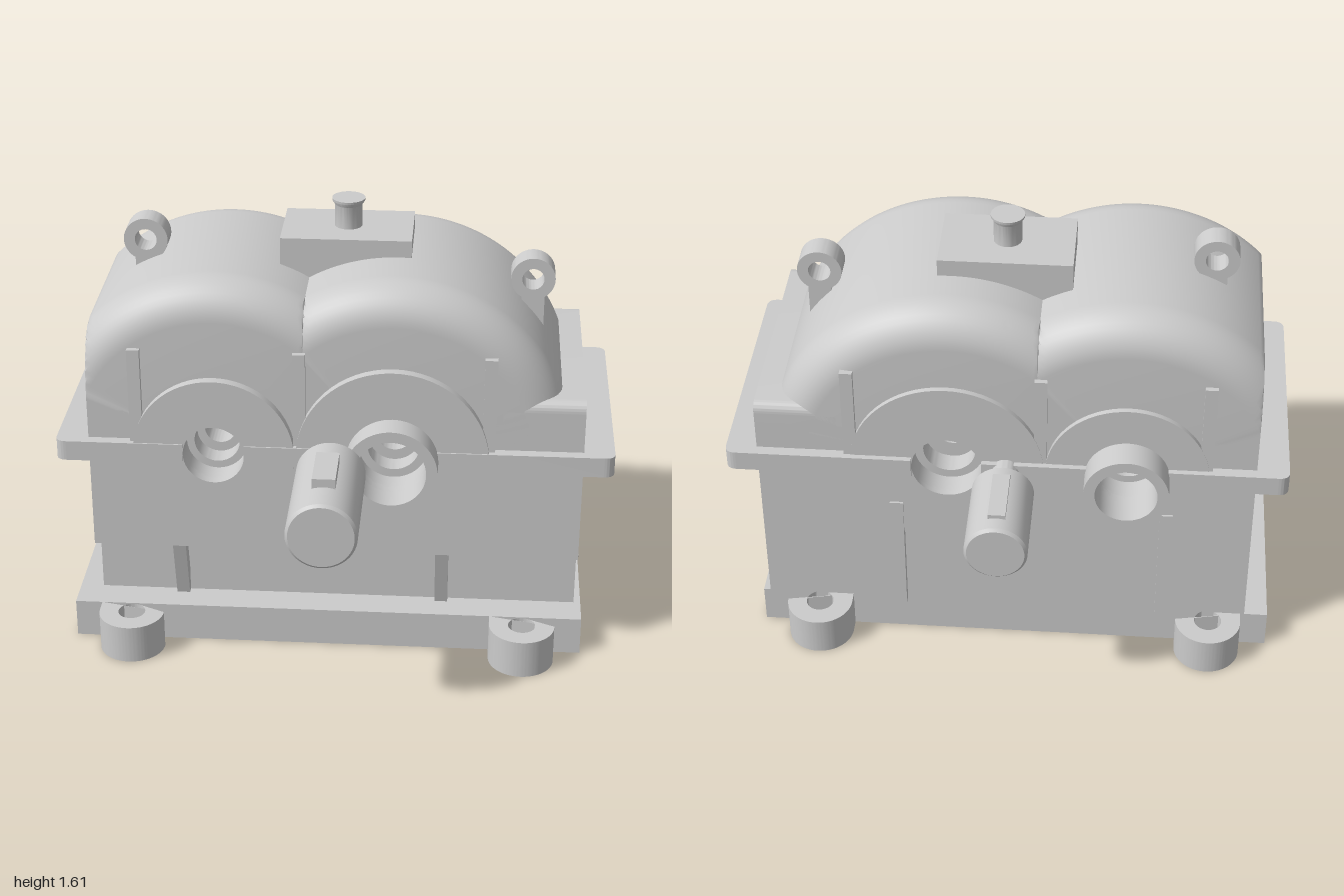
import * as THREE from 'three';
import { toCreasedNormals } from 'three/addons/utils/BufferGeometryUtils.js';

const FRONT = 0.36, BACK = -0.5, LEFT = -0.885, RIGHT = 0.89, AXIS = 0.8;
const BORES = [{ x: -0.43, hole: 0.11, disc: 0.29 }, { x: 0.21, hole: 0.125, disc: 0.345 }];

export function createModel() {
  const model = new THREE.Group();
  const mat = new THREE.MeshStandardMaterial({ color: 0xcccccc, side: THREE.DoubleSide });

  const add = (name, geo) => {
    const mesh = new THREE.Mesh(toCreasedNormals(geo, 0.6), mat);
    mesh.name = name;
    model.add(mesh);
    return mesh;
  };
  const poly = (pts) => new THREE.Shape(pts.map(([a, b]) => new THREE.Vector2(a, b)));
  const circle = (x, y, r, Type = THREE.Shape) => {
    const c = new Type();
    c.absarc(x, y, r, 0, Math.PI * 2);
    return c;
  };
  const ringShape = (x, y, outer, inner) => {
    const s = circle(x, y, outer);
    s.holes.push(circle(x, y, inner, THREE.Path));
    return s;
  };
  const extrude = (shape, depth) =>
    new THREE.ExtrudeGeometry(shape, { depth, bevelEnabled: false, curveSegments: 32 });
  // Extrusions along each axis; the X version draws in (-z, y), the Y version in (x, -z)
  const alongZ = (s, z0, z1) => extrude(s, z1 - z0).translate(0, 0, z0);
  const alongX = (s, x0, x1) => extrude(s, x1 - x0).rotateY(Math.PI / 2).translate(x0, 0, 0);
  const alongY = (s, y0, y1) => extrude(s, y1 - y0).rotateX(-Math.PI / 2).translate(0, y0, 0);
  const box = (name, x0, x1, y0, y1, z0, z1) =>
    add(name, new THREE.BoxGeometry(x1 - x0, y1 - y0, z1 - z0)
      .translate((x0 + x1) / 2, (y0 + y1) / 2, (z0 + z1) / 2));
  const ring = (name, x, outer, inner, z0, z1) =>
    add(name, alongZ(ringShape(x, AXIS, outer, inner), z0, z1));

  // Base plate with arched underside
  const base = new THREE.Shape();
  base.moveTo(-FRONT, 0);
  base.lineTo(-0.31, 0);
  base.bezierCurveTo(-0.17, 0.06, 0.3, 0.06, 0.44, 0);
  base.lineTo(-BACK, 0);
  base.lineTo(-BACK, 0.145);
  base.lineTo(-FRONT, 0.145);
  add('base', alongX(base, -0.97, 0.915));

  // Mounting feet: rounded lugs with bolt holes
  for (const x of [-0.75, 0.695]) {
    for (const [z, dir, reach] of [[0.415, -1, 0.055], [-0.545, 1, 0.045]]) {
      const foot = new THREE.Shape();
      foot.moveTo(x + 0.12, -z - dir * reach);
      foot.absarc(x, -z, 0.12, 0, dir * Math.PI, dir < 0);
      foot.lineTo(x - 0.12, -z - dir * reach);
      foot.holes.push(circle(x, -z, 0.05, THREE.Path));
      add('foot', alongY(foot, 0, 0.145));
    }
  }

  // Lower housing, and upper housing bored through for the bearings
  box('lowerHousing', LEFT, RIGHT, 0.14, 0.41, BACK, 0.24);
  const housing = poly([[LEFT, 0.4], [RIGHT, 0.4], [RIGHT, 0.95], [LEFT, 0.95]]);
  for (const b of BORES) housing.holes.push(circle(b.x, AXIS, b.hole, THREE.Path));
  add('upperHousing', alongZ(housing, BACK, FRONT));

  // Cover lobes: half turns with filleted rims, trimmed to the end wall and valley
  const lobe = (bore, xMin, xMax) => {
    const R = 0.64, f = 0.14, pts = [new THREE.Vector2(bore.hole, BACK)];
    for (let i = 0; i <= 10; i++) {
      const a = (i / 10) * Math.PI / 2;
      pts.push(new THREE.Vector2(R - f + f * Math.sin(a), BACK + f - f * Math.cos(a)));
    }
    for (let i = 0; i <= 10; i++) {
      const a = (i / 10) * Math.PI / 2;
      pts.push(new THREE.Vector2(R - f + f * Math.cos(a), FRONT - f + f * Math.sin(a)));
    }
    pts.push(new THREE.Vector2(bore.hole, FRONT));
    const geo = new THREE.LatheGeometry(pts, 120, Math.PI / 2, Math.PI)
      .rotateX(Math.PI / 2).translate(bore.x, AXIS, 0);
    const p = geo.attributes.position;
    for (let i = 0; i < p.count; i++) p.setX(i, THREE.MathUtils.clamp(p.getX(i), xMin, xMax));
    add('coverLobe', geo);
  };
  lobe(BORES[0], LEFT, -0.11);
  lobe(BORES[1], -0.11, 0.86);

  // Step at the cover's end, with rounded upper edges
  const step = new THREE.Shape();
  step.moveTo(-FRONT, 0.8);
  step.lineTo(-BACK, 0.8);
  step.lineTo(-BACK, 0.99);
  step.quadraticCurveTo(-BACK, 1.03, -BACK - 0.04, 1.03);
  step.lineTo(-FRONT + 0.04, 1.03);
  step.quadraticCurveTo(-FRONT, 1.03, -FRONT, 0.99);
  add('coverStep', alongX(step, 0.6, RIGHT));

  // Parting flange in three pieces, leaving the bores clear
  const flangeEnd = (side, inner) => {
    const s = new THREE.Shape(), c = 0.04;
    s.moveTo(inner, -0.4);
    s.lineTo(side * (1 - c), -0.4);
    s.quadraticCurveTo(side, -0.4, side, -0.4 + c);
    s.lineTo(side, 0.54 - c);
    s.quadraticCurveTo(side, 0.54, side * (1 - c), 0.54);
    s.lineTo(inner, 0.54);
    add('flange', alongY(s, 0.765, 0.84));
  };
  flangeEnd(-1, BORES[0].x - BORES[0].hole);
  box('flange', BORES[0].x + BORES[0].hole, BORES[1].x - BORES[1].hole, 0.765, 0.84, -0.54, 0.4);
  flangeEnd(1, BORES[1].x + BORES[1].hole);

  // Bearing discs, projecting bosses and stepped bore liners
  for (const b of BORES) {
    ring('bearingDisc', b.x, b.disc, b.hole, FRONT - 0.01, 0.395);
    ring('bearingDisc', b.x, b.disc, b.hole, -0.52, BACK + 0.01);
    for (const [z0, z1] of [[0.2, 0.28], [-0.42, -0.34]])
      ring('boreLiner', b.x, b.hole + 0.005, b.hole * 0.75, z0, z1);
    ring('boreLiner', b.x, b.hole + 0.005, b.hole * 0.52, -0.3, 0.18);
  }
  ring('frontBoss', BORES[1].x, 0.165, 0.125, FRONT, 0.495);
  ring('backBoss', BORES[0].x, 0.15, 0.11, -0.63, BACK);
  add('borePlug', alongZ(circle(BORES[1].x, AXIS, 0.07), -0.1, 0));

  // Shafts with narrow necks, chamfered ends and keys
  const shaft = (name, r, start, end, neck) => {
    const c = 0.01, len = end - start;
    const pts = [[0, -0.25], [neck, -0.25], [neck, 0], [r - c, 0], [r, c],
      [r, len - c], [r - c, len], [0, len]].map(([a, b]) => new THREE.Vector2(a, b));
    return add(name, new THREE.LatheGeometry(pts, 48).rotateX(Math.PI / 2).translate(0, 0, start));
  };
  shaft('frontShaft', 0.123, 0.495, 0.955, 0.052).position.set(0, AXIS, 0);
  const backShaft = shaft('backShaft', 0.109, 0.625, 0.96, 0.05);
  backShaft.position.set(0, AXIS, 0);
  backShaft.rotation.y = Math.PI;
  box('frontKey', -0.04, 0.04, 0.85, 0.953, 0.635, 0.83);
  box('backKey', -0.03, 0.03, 0.85, 0.922, -0.9, -0.685);

  // Stiffening ribs on the cover and the housing
  for (const x of [-0.73, -0.145, 0.53]) box('coverRib', x, x + 0.045, 0.83, 1.197, -0.518, 0.38);
  for (const x of [-0.6, 0.37]) {
    const rib = poly([[-0.335, 0.41], [-0.265, 0.14], [-0.23, 0.14], [-0.23, 0.21], [-0.285, 0.41]]);
    add('frontRib', alongX(rib, x, x + 0.048));
    box('backRib', x, x + 0.048, 0.145, 0.63, -0.528, -0.49);
  }

  // Lifting eyes
  for (const [x, y, bottom] of [[-0.71, 1.455, 1.3], [0.695, 1.34, 1.16]]) {
    add('liftingEye', alongZ(ringShape(x, y, 0.08, 0.04), -0.112, -0.02));
    box('liftingEyeStem', x - 0.04, x + 0.043, bottom, y - 0.045, -0.112, -0.02);
  }

  // Inspection cover and flared breather
  box('inspectionCover', -0.215, 0.257, 1.35, 1.502, -0.25, 0.05);
  const breather = [[0.05, 0], [0.05, 0.085], [0.06, 0.1], [0.06, 0.108], [0, 0.108]]
    .map(([a, b]) => new THREE.Vector2(a, b));
  add('breather', new THREE.LatheGeometry(breather, 32).translate(0.022, 1.5, -0.1));

  // Oil gauge and hexagonal drain plug on the end wall
  add('oilGauge', new THREE.CylinderGeometry(0.058, 0.058, 0.03, 32)
    .rotateZ(Math.PI / 2).translate(0.888, 0.535, -0.138));
  add('drainPlug', new THREE.CylinderGeometry(0.034, 0.034, 0.03, 6)
    .rotateZ(Math.PI / 2).translate(0.892, 0.265, 0.064));

  return model;
}
